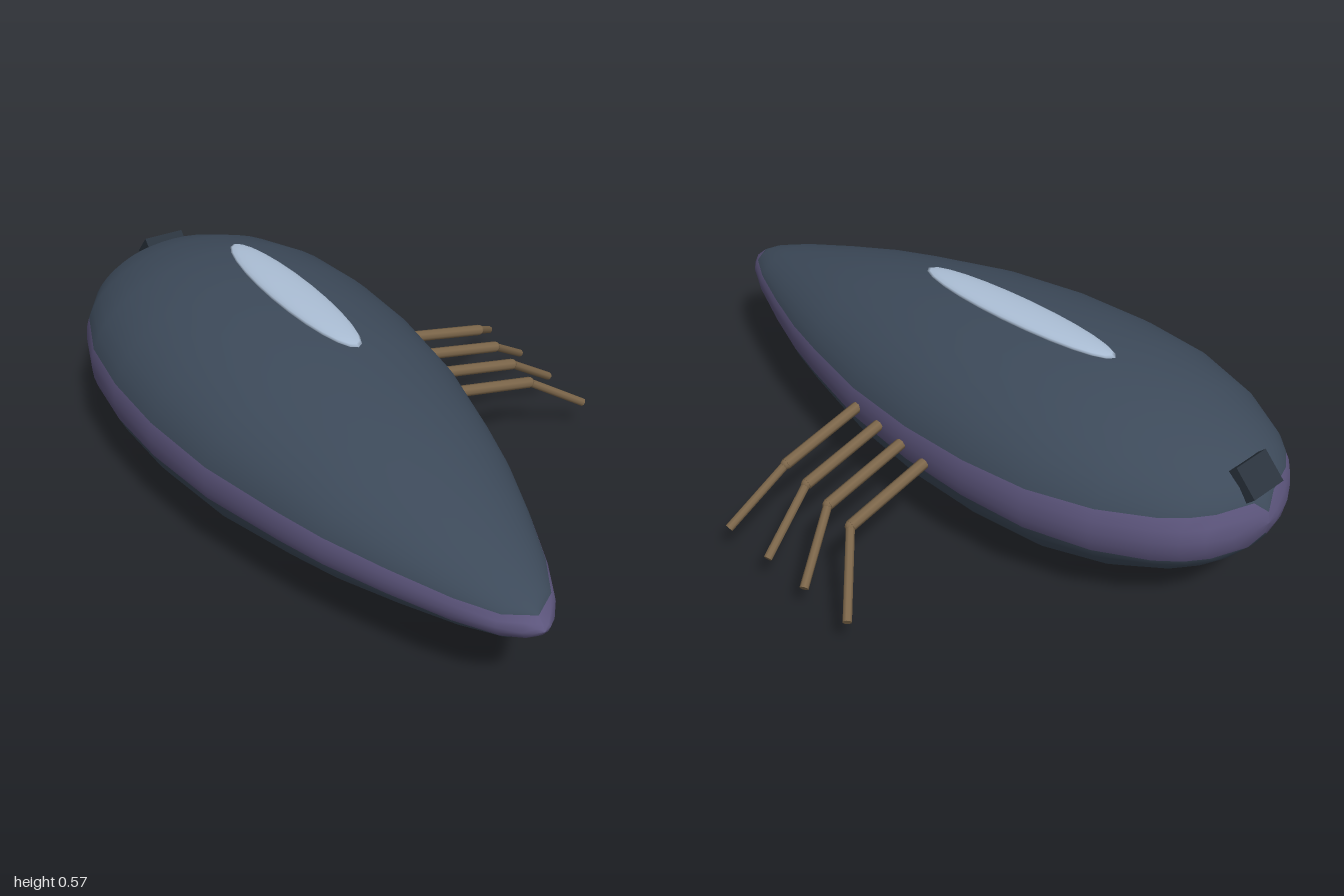
import * as THREE from 'three';

const mat = (name, color) => new THREE.MeshStandardMaterial({ name, color });

// Teardrop outline: distance from the blunt rear end, half width
const PROFILE = [
  [0, 0], [0.005, 0.05], [0.025, 0.115], [0.061, 0.18], [0.1, 0.229], [0.155, 0.277],
  [0.285, 0.352], [0.46, 0.406], [0.66, 0.424], [0.88, 0.418], [1.13, 0.384],
  [1.38, 0.318], [1.52, 0.275], [1.69, 0.208], [1.85, 0.138], [1.95, 0.083],
  [1.995, 0.045], [2.012, 0.022], [2.02, 0],
];
const FLATNESS = 0.637;
const AXIS_Y = 0.27;

// Flattened teardrop hull with a side band between the upper and lower shells
function hullGeometry() {
  const parts = [[4, 1], [18, 0], [4, 1], [18, 0]]; // segments, material index
  const columns = parts.reduce((n, p) => n + p[0], 0);
  const positions = [];
  for (const [t, w] of PROFILE) {
    const h = w * FLATNESS;
    const bandHalf = 0.069 - 0.02 * t;
    const b = h > bandHalf ? Math.asin(bandHalf / h) : Math.PI / 2;
    const stops = [-b, b, Math.PI - b, Math.PI + b, 2 * Math.PI - b];
    parts.forEach(([n], k) => {
      for (let j = 0; j < n; j++) {
        const a = stops[k] + (stops[k + 1] - stops[k]) * j / n;
        positions.push(w * Math.cos(a), AXIS_Y + h * Math.sin(a), t);
      }
    });
  }
  const g = new THREE.BufferGeometry();
  const index = [];
  let first = 0;
  for (const [n, material] of parts) {
    const start = index.length;
    for (let i = 0; i < PROFILE.length - 1; i++) {
      for (let j = first; j < first + n; j++) {
        const k = (j + 1) % columns;
        const a = i * columns + j, b = i * columns + k;
        const c = a + columns, d = b + columns;
        index.push(a, b, c, b, d, c);
      }
    }
    g.addGroup(start, index.length - start, material);
    first += n;
  }
  g.setAttribute('position', new THREE.Float32BufferAttribute(positions, 3));
  g.setIndex(index);
  g.computeVertexNormals();
  return g;
}

// Straight rod between two points
function rod(name, from, to, radius, material) {
  const a = new THREE.Vector3(...from), b = new THREE.Vector3(...to);
  const dir = b.clone().sub(a);
  const mesh = new THREE.Mesh(new THREE.CylinderGeometry(radius, radius, dir.length(), 8), material);
  mesh.name = name;
  mesh.position.copy(a).add(b).multiplyScalar(0.5);
  mesh.quaternion.setFromUnitVectors(new THREE.Vector3(0, 1, 0), dir.normalize());
  return mesh;
}

export function createModel() {
  const slate = mat('slate hull', 0x3d4a5a);
  const violet = mat('violet band', 0x5c557c);
  const bronze = mat('bronze legs', 0x7c664a);
  const glass = mat('pale glass', 0xacbfd6);
  const dark = mat('dark hatch', 0x2a333d);

  const model = new THREE.Group();
  model.name = 'teardropCraft';

  // Hull group turned a little to its right, origin at the rear end
  const body = new THREE.Group();
  body.name = 'body';
  body.position.set(-0.08, 0, -0.995);
  body.rotation.y = -0.191;
  model.add(body);

  const hull = new THREE.Mesh(hullGeometry(), [slate, violet]);
  hull.name = 'hull';
  body.add(hull);

  // Long lens-shaped window on top
  const canopy = new THREE.Mesh(new THREE.SphereGeometry(1, 24, 12), glass);
  canopy.name = 'canopy';
  canopy.scale.set(0.062, 0.018, 0.345);
  canopy.position.set(0.042, 0.553, 0.83);
  body.add(canopy);

  // Hatch on the rear slope
  const hatch = new THREE.Mesh(new THREE.BoxGeometry(0.12, 0.035, 0.09), dark);
  hatch.name = 'rearHatch';
  hatch.position.set(0, 0.383, 0.057);
  hatch.rotation.x = -0.8;
  body.add(hatch);

  // Four jointed legs on the left side, fanning out at the feet
  const footSpread = [0.05, -0.015, -0.065, -0.13];
  footSpread.forEach((spread, i) => {
    const x = 0.09 + 0.038 * i, z = 0.16 - 0.103 * i;
    const knee = [x + 0.265, 0.21, z + 0.04];
    const leg = new THREE.Group();
    leg.name = `leg${i + 1}`;
    leg.add(
      rod('upperLeg', [x, 0.27, z], knee, 0.016, bronze),
      rod('lowerLeg', knee, [x + 0.45, 0.087, z + 0.04 + spread], 0.012, bronze),
    );
    const joint = new THREE.Mesh(new THREE.SphereGeometry(0.015, 8, 6), bronze);
    joint.name = 'knee';
    joint.position.set(...knee);
    leg.add(joint);
    model.add(leg);
  });

  return model;
}
